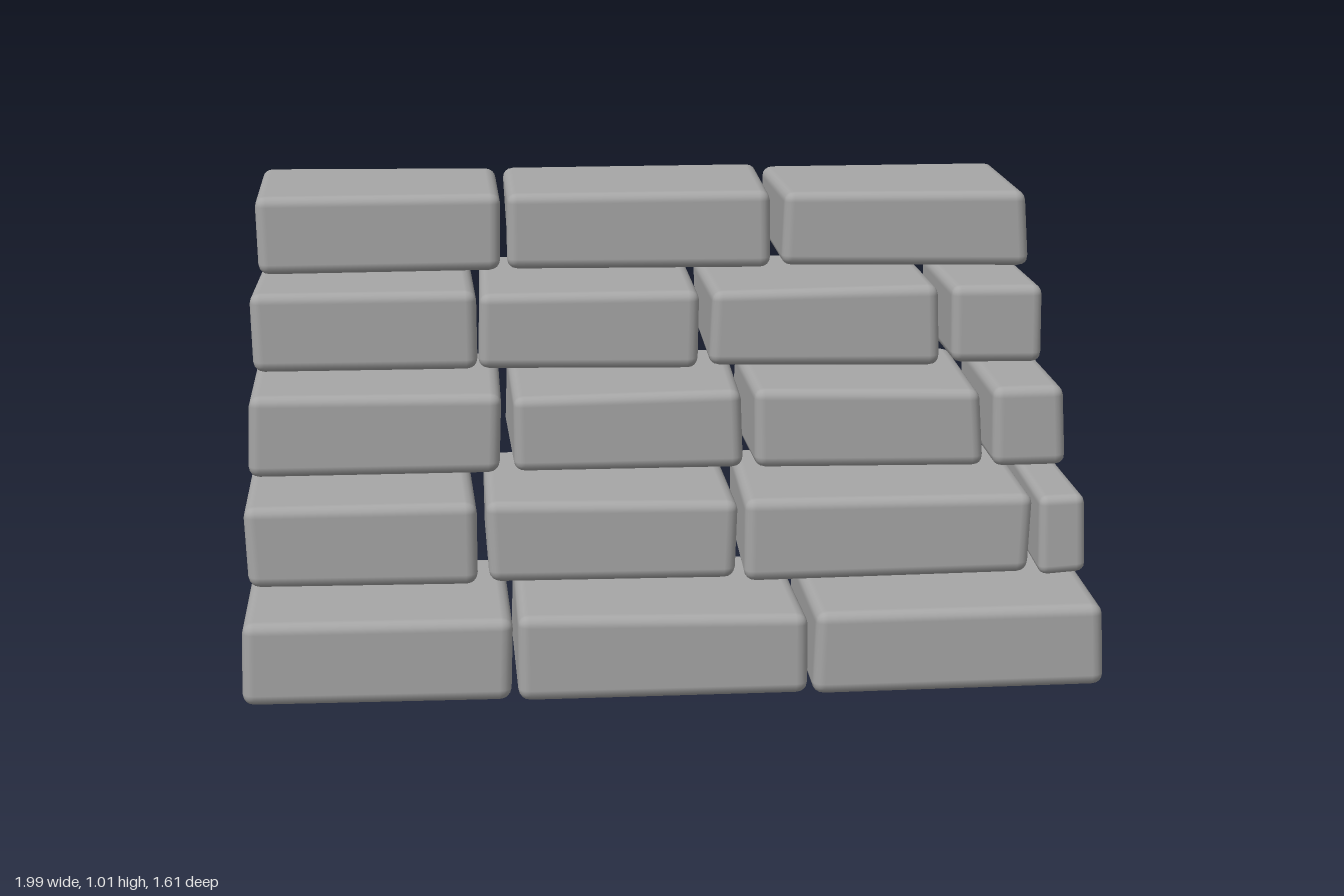
import * as THREE from 'three';
import { RoundedBoxGeometry } from 'three/addons/geometries/RoundedBoxGeometry.js';

// Small seeded generator for the uneven hewn corners
function seeded(seed) {
  return () => {
    seed = (seed * 1664525 + 1013904223) % 4294967296;
    return seed / 4294967296;
  };
}

// Rounded block whose eight corners are pulled slightly inwards
function stoneGeometry(w, h, d, random) {
  const geometry = new RoundedBoxGeometry(w, h, d, 2, Math.min(0.028, w * 0.2));
  const pulls = Array.from({ length: 8 }, () => [random() * 0.018, random() * 0.012, random() * 0.018]);
  const p = geometry.attributes.position;
  for (let i = 0; i < p.count; i++) {
    const v = [p.getX(i), p.getY(i), p.getZ(i)];
    const t = [v[0] / w + 0.5, v[1] / h + 0.5, v[2] / d + 0.5];
    pulls.forEach((pull, corner) => {
      let weight = 1;
      for (let a = 0; a < 3; a++) weight *= (corner >> a) & 1 ? t[a] : 1 - t[a];
      for (let a = 0; a < 3; a++) v[a] += weight * pull[a] * ((corner >> a) & 1 ? -1 : 1);
    });
    p.setXYZ(i, ...v);
  }
  return geometry;
}

export function createModel() {
  const model = new THREE.Group();
  model.name = 'stoneStairs';
  const stone = new THREE.MeshStandardMaterial({ color: 0xa6a6a6 });
  stone.name = 'greyStone';
  const random = seeded(17);

  // Left and right end of each block, from the lowest step up
  const steps = [
    [[-0.995, -0.37], [-0.365, 0.305], [0.31, 0.995]],
    [[-0.995, -0.445], [-0.435, 0.175], [0.18, 0.875], [0.88, 1]],
    [[-0.995, -0.375], [-0.37, 0.215], [0.22, 0.795], [0.815, 1]],
    [[-1, -0.43], [-0.435, 0.125], [0.135, 0.73], [0.74, 0.995]],
    [[-0.995, -0.36], [-0.355, 0.34], [0.345, 1]],
  ];

  steps.forEach((blocks, level) => {
    const step = new THREE.Group();
    step.name = `step${level + 1}`;
    step.position.set(0, 0.107 + level * 0.2, 0.535 - level * 0.2675);
    blocks.forEach(([left, right], i) => {
      const block = new THREE.Mesh(stoneGeometry(right - left, 0.208, 0.545, random), stone);
      block.name = `stoneBlock${i + 1}`;
      block.position.x = (left + right) / 2;
      step.add(block);
    });
    model.add(step);
  });
  return model;
}
